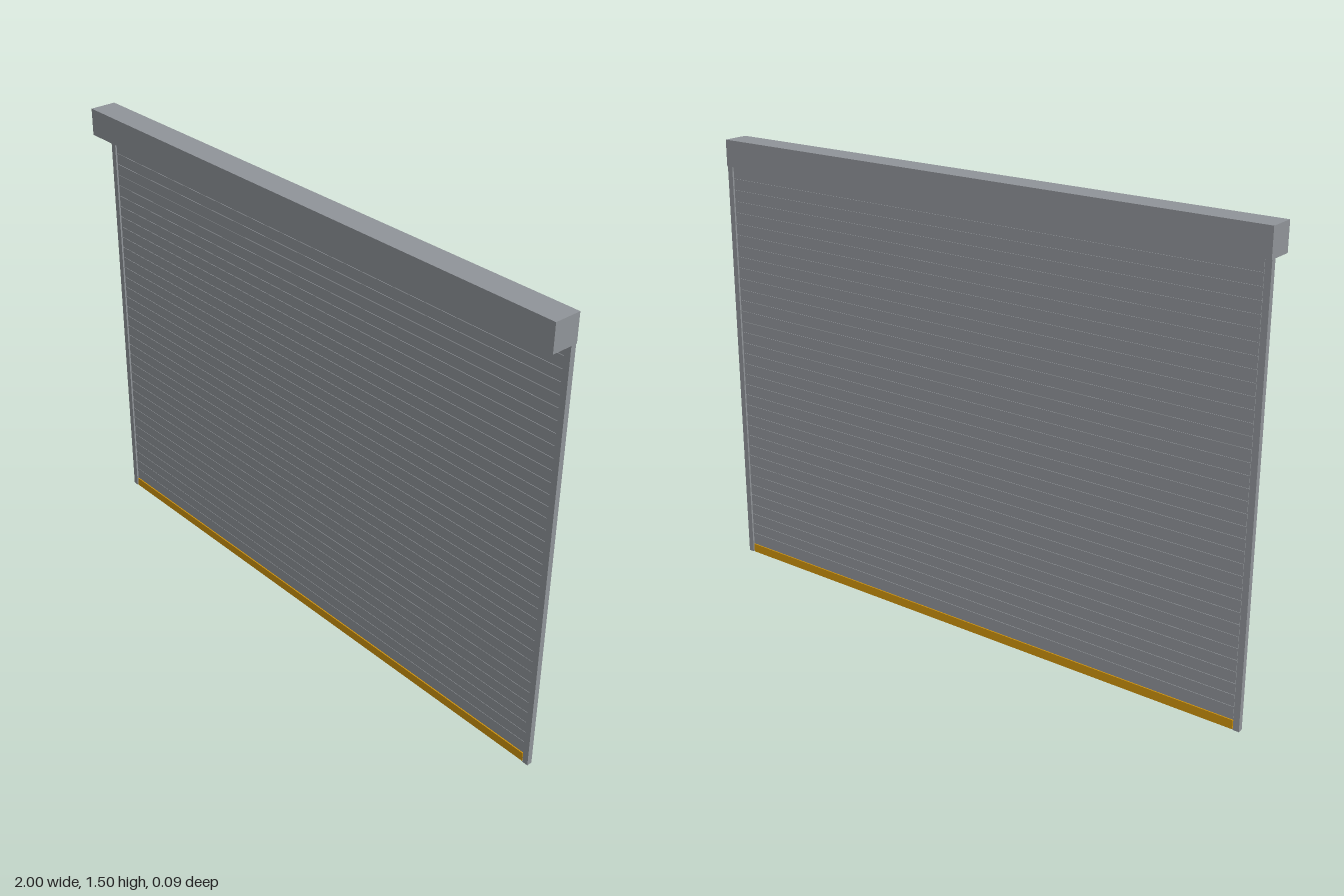
import * as THREE from 'three';

export function createModel() {
  const group = new THREE.Group();
  group.name = 'rollerShutter';

  const steel = new THREE.MeshStandardMaterial({ color: 0x909499 });
  steel.name = 'grey steel';
  const amber = new THREE.MeshStandardMaterial({ color: 0xcf930c });
  amber.name = 'amber edge';

  const box = (name, w, h, d, x, y, z, material) => {
    const mesh = new THREE.Mesh(new THREE.BoxGeometry(w, h, d), material);
    mesh.name = name;
    mesh.position.set(x, y, z);
    group.add(mesh);
    return mesh;
  };

  const curtainZ = -0.033;
  const curtainWidth = 1.954;
  const hoodBottom = 1.41;

  // Hood that houses the rolled curtain
  box('hood', 2, 0.09, 0.09, 0, hoodBottom + 0.045, 0, steel);

  // Side guide rails
  for (const side of [-1, 1]) {
    box(side > 0 ? 'leftGuide' : 'rightGuide',
      0.02, hoodBottom, 0.018, side * 0.99, hoodBottom / 2, curtainZ, steel);
  }

  // Thin core joining the slats and filling the rail slots
  box('curtainCore', 1.96, hoodBottom - 0.03, 0.006, 0, (hoodBottom + 0.03) / 2, curtainZ, steel);

  // Slats with narrow joints between them
  const first = 0.036;
  const count = 36;
  const pitch = (hoodBottom - first) / count;
  for (let i = 0; i < count; i++) {
    box('slat', curtainWidth, pitch - 0.0015, 0.01, 0, first + (i + 0.5) * pitch, curtainZ, steel);
  }

  // Coloured bottom bar
  box('bottomBar', curtainWidth, 0.03, 0.014, 0, 0.015, curtainZ, amber);

  return group;
}
